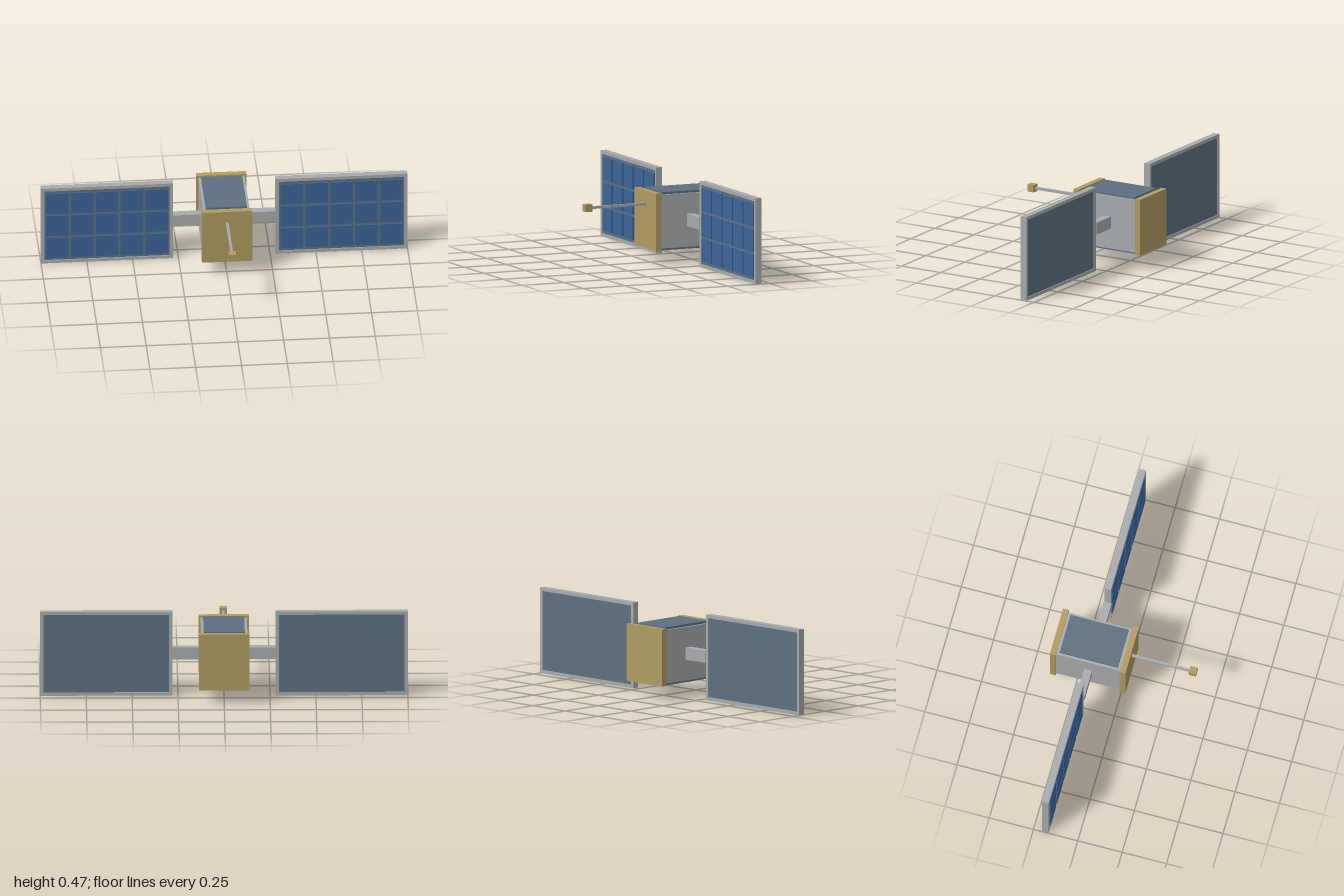
import * as THREE from 'three';

const material = (name, color) => Object.assign(new THREE.MeshStandardMaterial({ color }), { name });

export function createModel() {
  const grey = material('light grey', 0xa8abae);
  const gold = material('gold foil', 0xb09b63);
  const slate = material('slate', 0x5d7080);
  const blue = material('solar blue', 0x3c6496);

  const model = new THREE.Group();
  model.name = 'satellite';

  // Box given by its extents on each axis
  function box(parent, name, mat, [x0, x1], [y0, y1], [z0, z1]) {
    const mesh = new THREE.Mesh(new THREE.BoxGeometry(x1 - x0, y1 - y0, z1 - z0), mat);
    mesh.position.set((x0 + x1) / 2, (y0 + y1) / 2, (z0 + z1) / 2);
    mesh.name = name;
    parent.add(mesh);
  }

  // Body with gold end caps and slate covers above and below
  box(model, 'body', grey, [-0.126, 0.126], [0.09, 0.385], [-0.363, -0.001]);
  box(model, 'frontCap', gold, [-0.137, 0.137], [0.08, 0.395], [-0.002, 0.031]);
  box(model, 'backCap', gold, [-0.137, 0.137], [0.08, 0.395], [-0.395, -0.362]);
  box(model, 'topCover', slate, [-0.112, 0.112], [0.38, 0.397], [-0.346, -0.018]);
  box(model, 'bottomCover', slate, [-0.112, 0.112], [0.078, 0.095], [-0.346, -0.018]);

  // Sensor boom
  box(model, 'boom', grey, [-0.007, 0.007], [0.314, 0.328], [0.03, 0.358]);
  box(model, 'boomTip', gold, [-0.02, 0.02], [0.301, 0.341], [0.356, 0.397]);

  // Solar wings
  const inner = 0.28, outer = 1, height = 0.472, rim = 0.018;
  const frameZ = [-0.201, -0.165];
  const columns = 5, rows = 3, pitchX = 0.1355, pitchY = 0.139, cellW = 0.122, cellH = 0.125;
  for (const side of [1, -1]) {
    const wing = new THREE.Group();
    wing.name = side > 0 ? 'leftWing' : 'rightWing';
    const span = (a, b) => (side > 0 ? [a, b] : [-b, -a]);

    box(wing, 'arm', grey, span(0.12, inner), [0.205, 0.272], [-0.204, -0.16]);
    box(wing, 'frameInner', grey, span(inner, inner + rim), [0, height], frameZ);
    box(wing, 'frameOuter', grey, span(outer - rim, outer), [0, height], frameZ);
    box(wing, 'frameBottom', grey, span(inner + rim, outer - rim), [0, rim], frameZ);
    box(wing, 'frameTop', grey, span(inner + rim, outer - rim), [height - rim, height], frameZ);
    box(wing, 'backing', slate, span(inner + rim, outer - rim), [rim, height - rim], [-0.196, -0.17]);

    // Grid of cells on the front
    for (let c = 0; c < columns; c++) {
      for (let r = 0; r < rows; r++) {
        const x = (inner + outer) / 2 + (c - (columns - 1) / 2) * pitchX;
        const y = height / 2 + (r - (rows - 1) / 2) * pitchY;
        box(wing, 'solarCell', blue, span(x - cellW / 2, x + cellW / 2),
          [y - cellH / 2, y + cellH / 2], [-0.171, -0.163]);
      }
    }
    model.add(wing);
  }
  return model;
}
